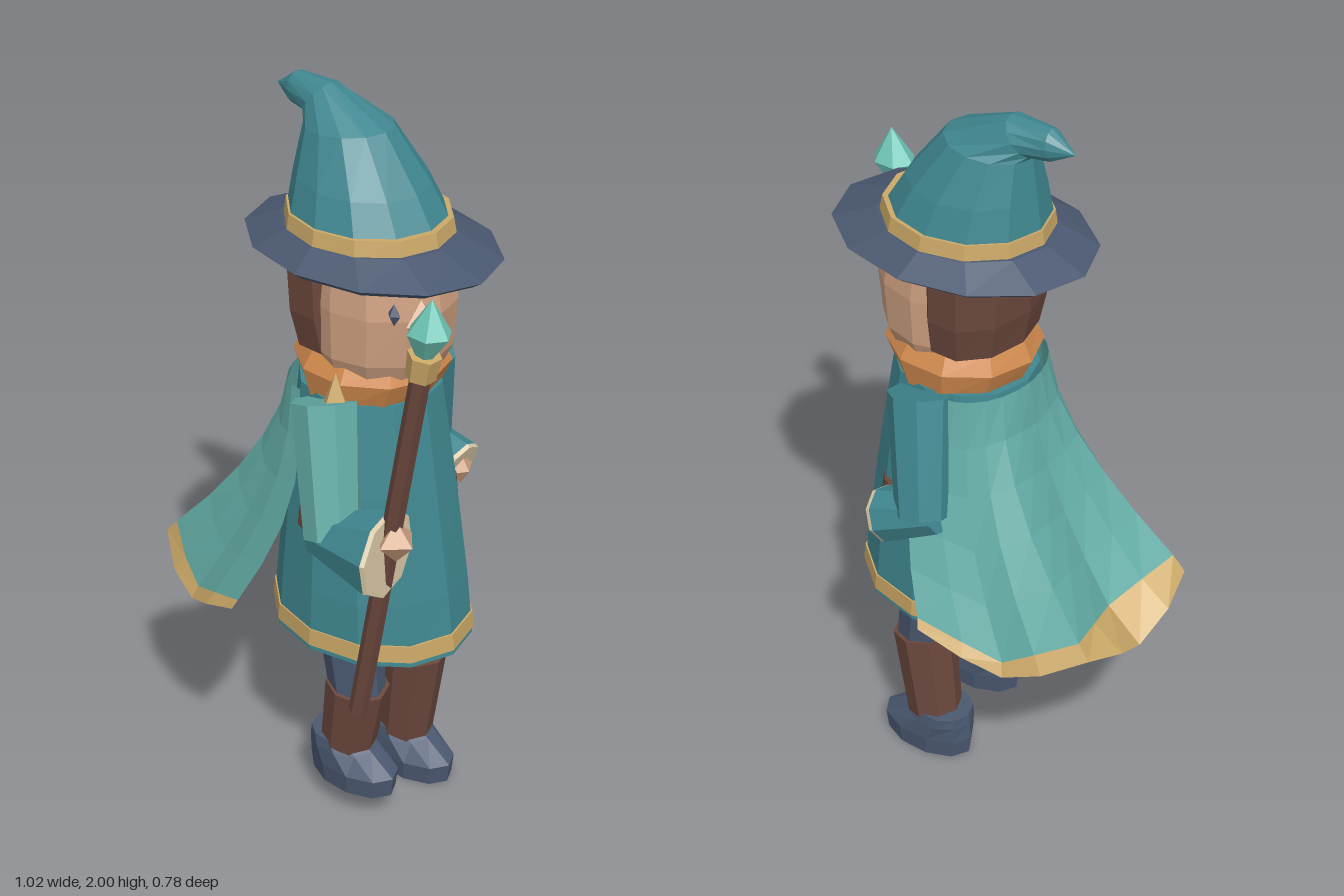
import * as THREE from 'three';

const mat = (name, color) => {
  const m = new THREE.MeshStandardMaterial({ color, flatShading: true, side: THREE.DoubleSide });
  m.name = name;
  return m;
};

export function createModel() {
  const navy = mat('navy', 0x4a5870), teal = mat('teal', 0x408790), cape = mat('light teal', 0x62aaa4),
    gold = mat('gold', 0xcba867), skin = mat('skin', 0xcea080), brown = mat('brown', 0x6b483d),
    orange = mat('orange', 0xd18a4e), mint = mat('mint', 0x70c8b8), cream = mat('cream', 0xdccbaa);
  const model = new THREE.Group();
  const V = (x, y, z) => new THREE.Vector3(x, y, z);

  const add = (name, geo, material, parent = model) => {
    const mesh = new THREE.Mesh(geo, material);
    mesh.name = name;
    parent.add(mesh);
    return mesh;
  };

  const fromPoints = (pts) => {
    const g = new THREE.BufferGeometry().setFromPoints(pts);
    g.computeVertexNormals();
    return g;
  };

  // Closed loft through elliptical rings: [centre x, y, x radius, z radius, slope towards +x]
  const loft = (rings, sides, cz = 0) => {
    const at = ([cx, y, rx, rz, slope = 0], j) => {
      const a = (j % sides) / sides * Math.PI * 2;
      return V(cx + rx * Math.cos(a), y + slope * Math.cos(a), cz - rz * Math.sin(a));
    };
    const pts = [], last = rings[rings.length - 1];
    for (let j = 0; j < sides; j++) {
      for (let i = 0; i + 1 < rings.length; i++) {
        const a = at(rings[i], j), b = at(rings[i], j + 1);
        const c = at(rings[i + 1], j + 1), d = at(rings[i + 1], j);
        pts.push(a, b, c, a, c, d);
      }
      pts.push(V(rings[0][0], rings[0][1], cz), at(rings[0], j + 1), at(rings[0], j));
      pts.push(V(last[0], last[1], cz), at(last, j), at(last, j + 1));
    }
    return fromPoints(pts);
  };

  // Tapered cylinder running from one point to another
  const rod = (from, to, r0, r1, sides) => {
    const dir = to.clone().sub(from);
    const g = new THREE.CylinderGeometry(r1, r0, dir.length(), sides);
    g.applyQuaternion(new THREE.Quaternion().setFromUnitVectors(V(0, 1, 0), dir.clone().normalize()));
    const mid = from.clone().add(to).multiplyScalar(0.5);
    return g.translate(mid.x, mid.y, mid.z);
  };

  const gem = (x, y, z, rx, ry, rz) => new THREE.OctahedronGeometry(1).scale(rx, ry, rz).translate(x, y, z);

  // Hat with a curled tip
  add('hatBrim', loft([[0.06, 1.605, 0.33, 0.25], [0.06, 1.625, 0.36, 0.275], [0.05, 1.67, 0.24, 0.205]], 12), navy);
  add('hatBand', loft([[0.05, 1.655, 0.23, 0.205], [0.048, 1.71, 0.222, 0.195]], 12), gold);
  add('hatCone', loft([
    [0.045, 1.70, 0.215, 0.19], [0.025, 1.79, 0.182, 0.16, -0.005], [-0.02, 1.91, 0.122, 0.105, 0.01],
    [-0.115, 1.955, 0.037, 0.055, 0.045], [-0.2, 1.957, 0.004, 0.035, 0.043], [-0.265, 1.95, 0.001, 0.001],
  ], 12), teal);

  // Head
  add('head', loft([[0.09, 1.32, 0.165, 0.16], [0.09, 1.37, 0.188, 0.18], [0.092, 1.5, 0.2, 0.185],
    [0.085, 1.62, 0.185, 0.175]], 12), skin);
  add('hair', loft([[0.005, 1.36, 0.125, 0.175], [-0.005, 1.46, 0.135, 0.195], [-0.01, 1.62, 0.14, 0.2]], 10), brown);
  add('nose', gem(0.27, 1.49, 0.05, 0.05, 0.058, 0.054), skin);
  add('eye', gem(0.245, 1.523, 0.12, 0.02, 0.03, 0.016), navy);
  add('scarf', loft([[0.06, 1.235, 0.17, 0.18], [0.062, 1.31, 0.208, 0.195], [0.062, 1.36, 0.185, 0.165]], 10), orange);
  add('clasp', new THREE.ConeGeometry(0.045, 0.1, 4).translate(0.11, 1.29, 0.185), gold);

  // Robe
  add('robe', loft([[0.065, 0.525, 0.288, 0.238], [0.064, 0.7, 0.268, 0.23], [0.06, 1.0, 0.225, 0.21],
    [0.055, 1.25, 0.19, 0.18]], 12), teal);
  add('robeHem', loft([[0.065, 0.54, 0.291, 0.242], [0.065, 0.587, 0.286, 0.239]], 12), gold);
  add('belt', loft([[0.085, 0.86, 0.19, 0.235], [0.085, 0.92, 0.18, 0.232]], 12), brown);

  // Cape: half outlines run from the front edge to the middle of the back
  const half = (rows) => {
    const right = rows.map(([x, y, z]) => V(x, y, z));
    const left = rows.slice(0, -1).reverse().map(([x, y, z]) => V(x, y, -z));
    return [...right, ...left];
  };
  const hem = half([[-0.07, 0.66, 0.388], [-0.19, 0.61, 0.365], [-0.29, 0.565, 0.325], [-0.39, 0.6, 0.295],
    [-0.49, 0.65, 0.225], [-0.515, 0.61, 0.11], [-0.5, 0.555, 0]]);
  const edge = half([[-0.06, 0.685, 0.375], [-0.18, 0.642, 0.345], [-0.28, 0.6, 0.31], [-0.36, 0.645, 0.28],
    [-0.455, 0.69, 0.22], [-0.43, 0.67, 0.11], [-0.4, 0.64, 0]]);
  const neck = half([0, 1, 2, 3, 4, 5, 6].map((k) => {
    const a = k / 6 * Math.PI / 2;
    return [-0.01 - 0.135 * Math.sin(a), 1.25, 0.19 * Math.cos(a)];
  }));
  const sheet = (rows) => {
    const pts = [];
    for (let i = 0; i + 1 < rows.length; i++) {
      for (let j = 0; j + 1 < rows[i].length; j++) {
        const a = rows[i][j], b = rows[i][j + 1], c = rows[i + 1][j + 1], d = rows[i + 1][j];
        pts.push(a, b, c, a, c, d);
      }
    }
    return fromPoints(pts);
  };
  const rows = [0, 0.2, 0.4, 0.6, 0.8, 1].map((t) => neck.map((n, j) => {
    const e = edge[j], front = Math.abs(j - 6) / 6;
    const f = t ** 1.65;
    return V(n.x + (e.x - n.x) * f + 0.06 * front ** 3 * Math.sin(Math.PI * t),
      n.y + (e.y - n.y) * t, n.z + (e.z - n.z) * t ** 1.1);
  }));
  add('cape', sheet(rows), cape);
  add('capeTrim', sheet([edge, hem]), gold);

  // Arms: sleeve, flared cuff with a pale rim, and a hand
  const arm = (name, shoulder, elbow, wrist, r, sleeveMat) => {
    const g = new THREE.Group();
    g.name = name;
    model.add(g);
    const dir = wrist.clone().sub(elbow).normalize();
    add('sleeve', rod(shoulder, elbow, 0.09, 0.075, 8), sleeveMat, g);
    add('cuff', rod(elbow.clone().addScaledVector(dir, -0.05), wrist, 0.055, r, 8), teal, g);
    add('cuffRim', rod(wrist, wrist.clone().addScaledVector(dir, 0.012), r, r * 0.97, 8), cream, g);
    return g;
  };
  const near = arm('rightArm', V(0.075, 1.25, 0.185), V(0.165, 0.92, 0.255), V(0.315, 0.92, 0.225), 0.12, cape);
  add('hand', gem(0.35, 0.97, 0.22, 0.055, 0.06, 0.058), skin, near);
  const far = arm('leftArm', V(0.06, 1.24, -0.185), V(0.0, 0.93, -0.265), V(0.11, 0.885, -0.275), 0.075, teal);
  add('hand', gem(0.125, 0.88, -0.275, 0.03, 0.045, 0.045), skin, far);

  // Legs, one foot lifted
  for (const [name, z, lift] of [['rightLeg', 0.115, 0.075], ['leftLeg', -0.112, 0]]) {
    const g = new THREE.Group();
    g.name = name;
    model.add(g);
    add('trouser', rod(V(0.12, 0.36, z), V(0.09, 0.58, z), 0.075, 0.085, 8), navy, g);
    add('bootShaft', rod(V(0.085, 0.1 + lift, z), V(0.12, 0.385, z), 0.074, 0.086, 8), brown, g);
    add('shoe', loft([[0.108, lift, 0.135, 0.078], [0.108, 0.055 + lift, 0.142, 0.083],
      [0.07, 0.105 + lift, 0.1, 0.08], [0.055, 0.135 + lift, 0.08, 0.075]], 10, z), navy, g);
  }

  // Staff with a collar and crystal
  const staff = new THREE.Group();
  staff.name = 'staff';
  model.add(staff);
  add('shaft', rod(V(0.222, 0.4, 0.22), V(0.428, 1.48, 0.22), 0.026, 0.026, 6), brown, staff);
  add('collar', rod(V(0.424, 1.46, 0.22), V(0.437, 1.525, 0.22), 0.038, 0.043, 6), gold, staff);
  add('crystal', loft([[0.437, 1.515, 0.02, 0.02], [0.45, 1.585, 0.06, 0.052], [0.457, 1.675, 0.001, 0.001]], 6, 0.22),
    mint, staff);

  return model;
}
